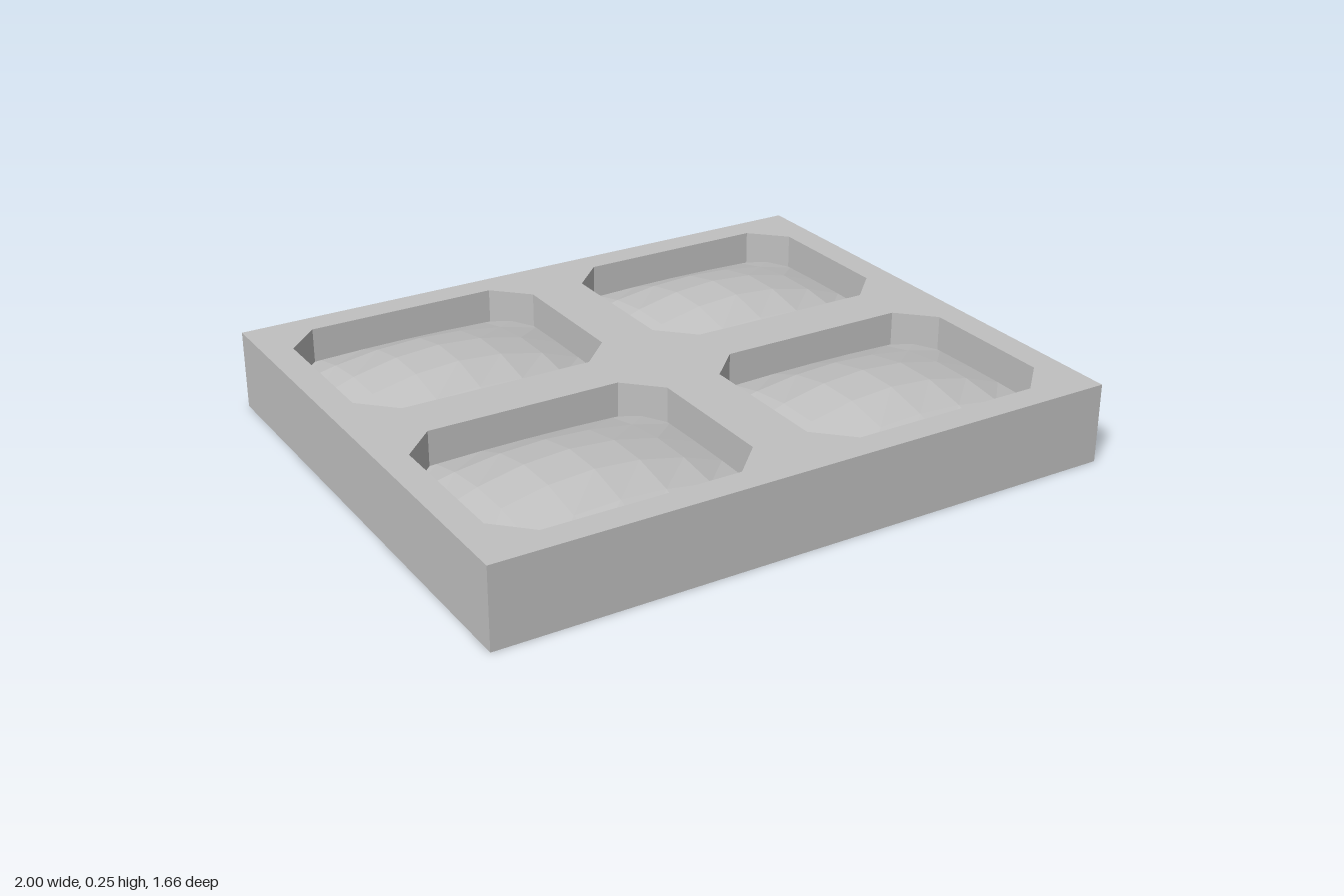
import * as THREE from 'three';

const W = 1, D = 0.83, H = 0.25;          // half width, half depth, height
const PW = 0.41, PD = 0.328, CUT = 0.105; // pocket half sizes and corner cut
const FLOOR = 0.135, BULGE = 0.095;       // pocket floor level and crown height

// Vertical wall band along a closed outline (plan x, plan y = -z); faces out when anticlockwise
function wallBand(outline, y0, y1) {
  const pos = [];
  outline.forEach((p, i) => {
    const q = outline[(i + 1) % outline.length];
    const a = [p.x, y0, -p.y], b = [q.x, y0, -q.y];
    const c = [q.x, y1, -q.y], d = [p.x, y1, -p.y];
    pos.push(...a, ...b, ...c, ...a, ...c, ...d);
  });
  const g = new THREE.BufferGeometry();
  g.setAttribute('position', new THREE.Float32BufferAttribute(pos, 3));
  g.computeVertexNormals();
  return g;
}

// Clockwise octagon, so its wall faces into the pocket
function pocketOutline(cx, cy) {
  const x = PW, y = PD, c = CUT;
  return [[-x, y - c], [-x + c, y], [x - c, y], [x, y - c],
    [x, -y + c], [x - c, -y], [-x + c, -y], [-x, -y + c]]
    .map(([px, py]) => new THREE.Vector2(cx + px, cy + py));
}

// Faceted cushion: a coarse grid raised by a product of two parabolas
function cushionGeometry() {
  const nx = 6, nz = 5, w = 0.852, d = 0.7;
  const g = new THREE.PlaneGeometry(w, d, nx, nz).rotateX(-Math.PI / 2);
  const p = g.attributes.position;
  for (let i = 0; i < p.count; i++) {
    const x = THREE.MathUtils.clamp(p.getX(i), -PW, PW);
    const z = THREE.MathUtils.clamp(p.getZ(i), -PD, PD);
    const u = x / (w / 2), v = z / (d / 2);
    p.setXYZ(i, x, FLOOR + BULGE * (1 - u * u) * (1 - v * v), z);
  }
  g.computeVertexNormals();
  return g;
}

export function createModel() {
  const model = new THREE.Group();
  model.name = 'mouldTray';
  const grey = new THREE.MeshStandardMaterial({ color: 0xc0c0c0, flatShading: true });
  grey.name = 'grey';

  const add = (geometry, name, parent = model) => {
    const mesh = new THREE.Mesh(geometry, grey);
    mesh.name = name;
    parent.add(mesh);
    return mesh;
  };

  // Outer block
  const outer = [[-W, -D], [W, -D], [W, D], [-W, D]].map(([x, y]) => new THREE.Vector2(x, y));
  const top = new THREE.Shape(outer);
  add(wallBand(outer, 0, H), 'outerWalls');
  add(new THREE.PlaneGeometry(2 * W, 2 * D).rotateX(Math.PI / 2), 'underside');

  // Four pockets with crowned floors
  const cushion = cushionGeometry();
  for (const x of [-0.5, 0.5]) {
    for (const z of [-0.413, 0.413]) {
      const pocket = new THREE.Group();
      pocket.name = (z > 0 ? 'front' : 'back') + (x > 0 ? 'Left' : 'Right') + 'Pocket';
      model.add(pocket);
      const outline = pocketOutline(x, -z);
      top.holes.push(new THREE.Path(outline));
      add(wallBand(outline, FLOOR, H), 'pocketWalls', pocket);
      add(cushion, 'pocketFloor', pocket).position.set(x, 0, z);
    }
  }

  // Top face with the pocket openings
  add(new THREE.ShapeGeometry(top).rotateX(-Math.PI / 2).translate(0, H, 0), 'topFace');
  return model;
}
